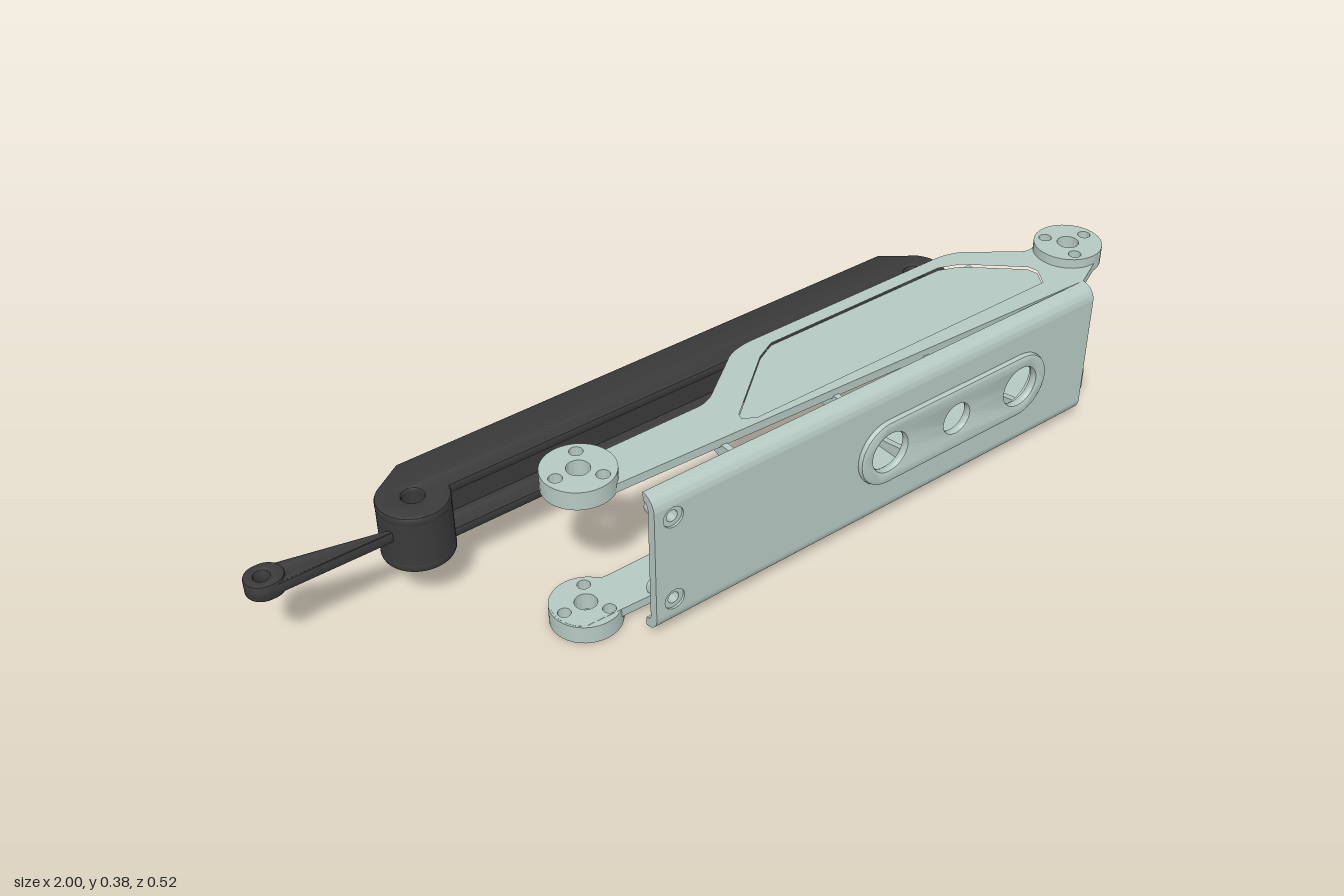
import * as THREE from 'three';
import { toCreasedNormals } from 'three/addons/utils/BufferGeometryUtils.js';

const RAD = Math.PI / 180;
const MID = 0.191; // mid height of the bracket
const light = new THREE.MeshStandardMaterial({ color: 0xb5c8c2 });
const dark = new THREE.MeshStandardMaterial({ color: 0x3a3a3a });

function circle(x, y, r) {
  return new THREE.Path().absarc(x, y, r, 0, Math.PI * 2, true);
}

function poly(points) {
  return new THREE.Shape(points.map(([x, y]) => new THREE.Vector2(x, y)));
}

function extrude(shape, depth, bevel = 0) {
  const geo = new THREE.ExtrudeGeometry(shape, {
    depth: depth - 2 * bevel, curveSegments: 20, bevelEnabled: bevel > 0,
    bevelThickness: bevel, bevelSize: bevel, bevelOffset: -bevel, bevelSegments: 2,
  });
  geo.translate(0, 0, bevel);
  return toCreasedNormals(geo, 0.6);
}

function add(parent, name, geo, material) {
  const mesh = new THREE.Mesh(geo, material);
  mesh.name = name;
  parent.add(mesh);
  return mesh;
}

// Horizontal plate between heights y0 and y1; shape is drawn in (x, -z)
function slab(shape, y0, y1, bevel) {
  return extrude(shape, y1 - y0, bevel).rotateX(-Math.PI / 2).translate(0, y0, 0);
}

// Prism running along x; shape is drawn in (-z, y)
function prism(shape, x0, x1) {
  return extrude(shape, x1 - x0).rotateY(Math.PI / 2).translate(x0, 0, 0);
}

function stadium(Type, x0, x1, y, r) {
  const s = new Type();
  s.absarc(x1 - r, y, r, -Math.PI / 2, Math.PI / 2, false);
  s.absarc(x0 + r, y, r, Math.PI / 2, Math.PI * 1.5, false);
  s.closePath();
  return s;
}

// Pivot positions of the bracket: x and the direction its screws point
const pivots = [{ x: -0.414, dir: 180 }, { x: 0.92, dir: 0 }];
const PIVOT_Y = -0.104;

function pivotHoles({ x, dir }) {
  const holes = [circle(x, PIVOT_Y, 0.024)];
  for (const a of [0, 120, 240]) {
    const t = (dir + a) * RAD;
    holes.push(circle(x + 0.052 * Math.cos(t), PIVOT_Y + 0.052 * Math.sin(t), 0.014));
  }
  return holes;
}

function sidePlateShape() {
  const s = new THREE.Shape();
  s.moveTo(-0.345, -0.215);
  s.absarc(-0.414, PIVOT_Y, 0.072, 235 * RAD, 60 * RAD, true);
  s.quadraticCurveTo(-0.36, -0.065, -0.33, -0.065);
  s.lineTo(-0.1, -0.065);
  s.quadraticCurveTo(-0.07, -0.065, -0.04, -0.04);
  s.lineTo(0.05, 0.027);
  s.quadraticCurveTo(0.08, 0.053, 0.14, 0.053);
  s.lineTo(0.66, 0.053);
  s.quadraticCurveTo(0.71, 0.053, 0.745, 0.025);
  s.lineTo(0.83, -0.04);
  s.quadraticCurveTo(0.85, -0.055, 0.879, -0.045);
  s.absarc(0.92, PIVOT_Y, 0.072, 125 * RAD, -55 * RAD, true);
  s.lineTo(0.855, -0.215);
  s.closePath();
  return s;
}

function buildBracket() {
  const g = new THREE.Group();
  g.name = 'channelBracket';
  const screws = [[-0.3, 0.298], [-0.3, 0.09]];

  // Front plate with an opening for the raised pad
  const front = poly([[-0.345, 0.057], [0.855, 0.057], [0.855, 0.325], [-0.345, 0.325]]);
  front.holes.push(stadium(THREE.Path, 0.195, 0.695, 0.196, 0.062));
  for (const [x, y] of screws) front.holes.push(circle(x, y, 0.024));
  add(g, 'frontPlate', extrude(front, 0.02).translate(0, 0, 0.23), light);

  // Raised pad with three openings
  const pad = stadium(THREE.Shape, 0.174, 0.714, 0.196, 0.079);
  for (const [x, r] of [[0.255, 0.047], [0.445, 0.036], [0.635, 0.047]]) {
    pad.holes.push(circle(x, 0.196, r));
  }
  add(g, 'raisedPad', extrude(pad, 0.022, 0.008).translate(0, 0, 0.24), light);

  // Hollow screw posts behind the front plate
  for (const [x, y] of screws) {
    const ring = new THREE.Shape().absarc(x, y, 0.026, 0, Math.PI * 2, false);
    ring.holes.push(circle(x, y, 0.013));
    add(g, 'screwPost', extrude(ring, 0.055).translate(0, 0, 0.19), light);
  }
  add(g, 'innerBlock', new THREE.BoxGeometry(0.04, 0.045, 0.04).translate(0.1, 0.17, 0.212), light);

  // Shallow panel pressed into each side plate
  const panel = [[-0.05, -0.135], [0.11, -0.005], [0.16, 0.02], [0.64, 0.02], [0.69, 0.0],
    [0.8, -0.1], [0.805, -0.125], [0.78, -0.165], [-0.025, -0.165], [-0.055, -0.15]];

  for (const side of [1, -1]) {
    const Y = (y) => MID + side * (y - MID);
    const level = (shape, a, b, bevel) => slab(shape, Math.min(Y(a), Y(b)), Math.max(Y(a), Y(b)), bevel);

    const plate = sidePlateShape();
    pivots.forEach((p) => plate.holes.push(...pivotHoles(p)));
    plate.holes.push(poly(panel));
    add(g, 'sidePlate', level(plate, 0.34, 0.36), light);
    add(g, 'pressedPanel', level(poly(panel), 0.34, 0.354), light);

    // Rounded bend joining side plate and front plate
    const bend = [];
    for (let i = 0; i <= 10; i++) {
      const t = (i * 9) * RAD;
      bend.push([-(0.215 + 0.035 * Math.cos(t)), Y(0.325 + 0.035 * Math.sin(t))]);
    }
    for (let i = 10; i >= 0; i--) {
      const t = (i * 9) * RAD;
      bend.push([-(0.215 + 0.015 * Math.cos(t)), Y(0.325 + 0.015 * Math.sin(t))]);
    }
    add(g, 'bend', prism(poly(bend), -0.345, 0.855), light);

    // Pivot bosses with a centre hole and three screw holes
    for (const p of pivots) {
      const boss = new THREE.Shape().absarc(p.x, PIVOT_Y, 0.076, 0, Math.PI * 2, false);
      boss.holes.push(...pivotHoles(p));
      add(g, 'pivotBoss', level(boss, 0.3405, 0.382), light);
    }

    // Tapered gussets inside the channel
    for (const [x, tip] of [[0.72, -0.01], [0.4, -0.03], [0.16, -0.03], [-0.12, 0.08]]) {
      const rib = poly([[-0.235, Y(0.294)], [-tip, Y(0.34)], [-0.215, Y(0.345)], [-0.235, Y(0.335)]]);
      add(g, 'gusset', prism(rib, x - 0.007, x + 0.007), light);
    }
  }
  return g;
}

// Arm outline in (x, -z), with a round end at each pivot
function armShape(frontEdge, backEdge, r) {
  const a = Math.asin((frontEdge - 0.155) / r);
  const inset = 0.262 - backEdge;
  const s = new THREE.Shape();
  s.absarc(0.7, 0.155, r, Math.PI - a, 400 * RAD, false);
  s.lineTo(0.68 + inset, backEdge);
  s.lineTo(-0.61 - inset, backEdge);
  s.absarc(-0.635, 0.155, r, 130 * RAD, Math.PI * 2 + a, false);
  s.closePath();
  for (const x of [-0.635, 0.7]) s.holes.push(circle(x, 0.155, 0.023));
  return s;
}

function buildArm() {
  const g = new THREE.Group();
  g.name = 'linkArm';
  add(g, 'lowerFlange', slab(armShape(0.137, 0.26, 0.076), 0.125, 0.148, 0.006), dark);
  add(g, 'upperFlange', slab(armShape(0.137, 0.26, 0.076), 0.239, 0.262, 0.006), dark);
  add(g, 'armCore', slab(armShape(0.19, 0.245, 0.0755), 0.14, 0.247), dark);

  // Thin tail link with an eye at its end
  const bar = poly([[-0.95, 0.123], [-0.66, 0.123], [-0.66, 0.195], [-0.95, 0.195]]);
  bar.holes.push(circle(-0.964, 0.159, 0.03));
  const barShape = new THREE.Shape();
  barShape.moveTo(-0.66, 0.195);
  barShape.absarc(-0.964, 0.159, 0.036, 90 * RAD, 270 * RAD, false);
  barShape.lineTo(-0.66, 0.123);
  barShape.closePath();
  barShape.holes.push(circle(-0.964, 0.159, 0.016));
  add(g, 'tailLink', slab(barShape, 0.198, 0.222, 0.004), dark);
  const eye = stadium(THREE.Shape, -1, -0.92, 0.159, 0.036);
  eye.holes.push(circle(-0.964, 0.159, 0.016));
  add(g, 'tailEye', slab(eye, 0.191, 0.228, 0.004), dark);
  return g;
}

export function createModel() {
  const model = new THREE.Group();
  model.name = 'linkageAssembly';
  model.add(buildBracket(), buildArm());
  return model;
}
